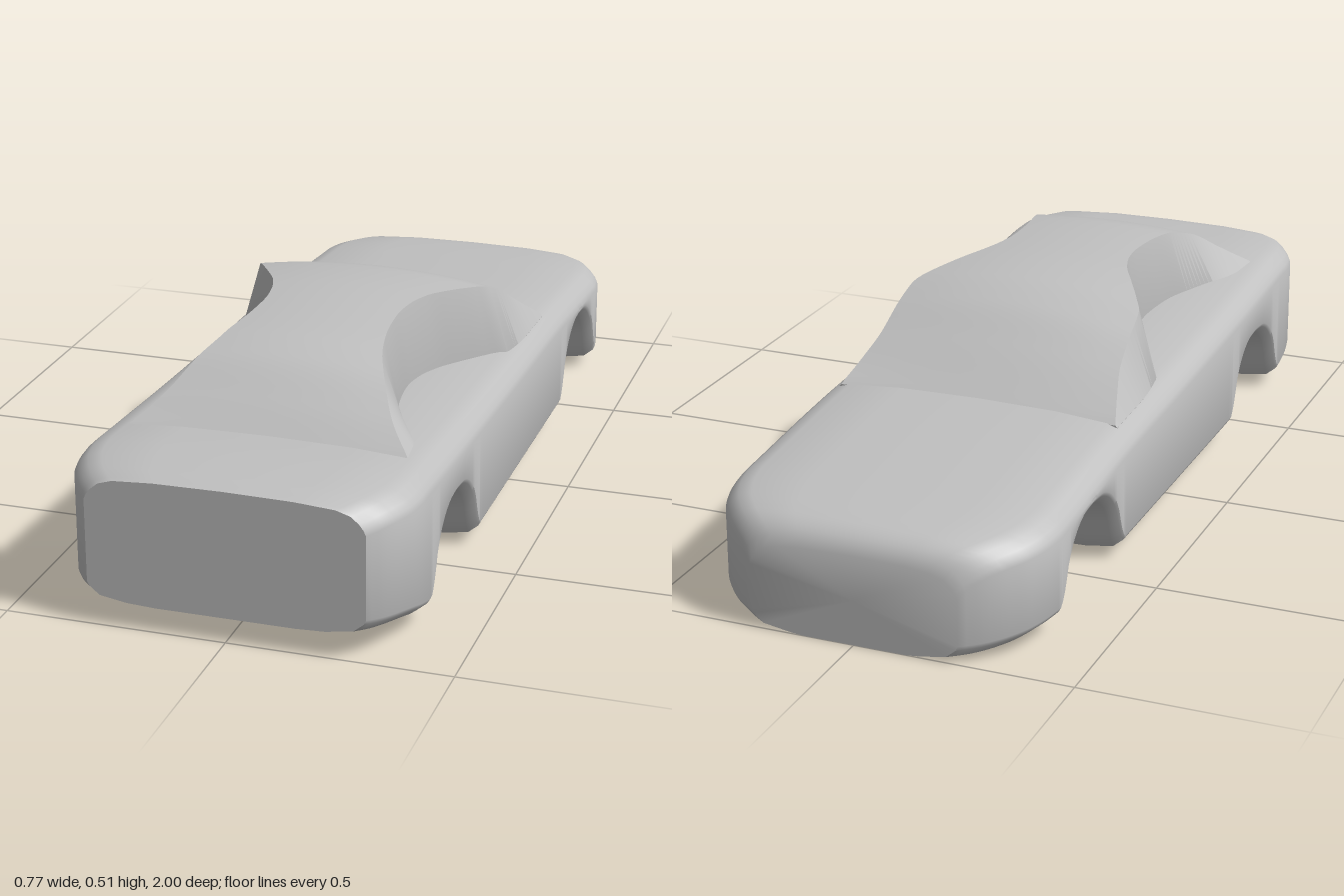
import * as THREE from 'three';
import { toCreasedNormals } from 'three/addons/utils/BufferGeometryUtils.js';

// Smooth, overshoot-free curve through [position, value] pairs
function curve(pts) {
  const n = pts.length;
  const s = pts.slice(1).map((p, i) => (p[1] - pts[i][1]) / (p[0] - pts[i][0]));
  const m = pts.map((p, i) => {
    if (i === 0) return s[0];
    if (i === n - 1) return s[n - 2];
    const a = s[i - 1], b = s[i];
    return a * b <= 0 ? 0 : (2 * a * b) / (a + b);
  });
  return (x) => {
    if (x <= pts[0][0]) return pts[0][1];
    if (x >= pts[n - 1][0]) return pts[n - 1][1];
    let i = 0;
    while (x > pts[i + 1][0]) i++;
    const h = pts[i + 1][0] - pts[i][0], t = (x - pts[i][0]) / h;
    const t2 = t * t, t3 = t2 * t;
    return (2 * t3 - 3 * t2 + 1) * pts[i][1] + (t3 - 2 * t2 + t) * h * m[i]
      + (3 * t2 - 2 * t3) * pts[i + 1][1] + (t3 - t2) * h * m[i + 1];
  };
}

// Skin over mirrored half-sections, running from z0 (front) back to z1
function loft(halfSection, z0, z1, steps, crease) {
  const pos = [], idx = [];
  let n = 0;
  for (let j = 0; j <= steps; j++) {
    const z = z0 + ((z1 - z0) * j) / steps;
    const half = halfSection(z);
    const ring = half.concat(half.slice(1, -1).reverse().map(([x, y]) => [-x, y]));
    n = ring.length;
    ring.forEach(([x, y]) => pos.push(x, y, z));
  }
  for (let j = 0; j < steps; j++) {
    for (let i = 0; i < n; i++) {
      const a = j * n + i, b = j * n + (i + 1) % n;
      idx.push(a, a + n, b, b, a + n, b + n);
    }
  }
  // flat end caps
  for (const [start, z, flip] of [[0, z0, false], [steps * n, z1, true]]) {
    const c = pos.length / 3;
    const ys = [];
    for (let i = 0; i < n; i++) ys.push(pos[(start + i) * 3 + 1]);
    pos.push(0, (Math.min(...ys) + Math.max(...ys)) / 2, z);
    for (let i = 0; i < n; i++) {
      const a = start + i, b = start + (i + 1) % n;
      if (flip) idx.push(c, b, a);
      else idx.push(c, a, b);
    }
  }
  const g = new THREE.BufferGeometry();
  g.setAttribute('position', new THREE.Float32BufferAttribute(pos, 3));
  g.setIndex(idx);
  return toCreasedNormals(g, crease);
}

// Body curves along z
const deck = curve([[-1, 0.21], [-0.985, 0.238], [-0.95, 0.26], [-0.9, 0.27], [-0.7, 0.288],
  [-0.33, 0.315], [0, 0.326], [0.4, 0.343], [0.7, 0.36], [0.82, 0.366], [0.95, 0.361], [1, 0.35]]);
const width = curve([[-1, 0.24], [-0.97, 0.285], [-0.93, 0.325], [-0.88, 0.358], [-0.82, 0.378],
  [-0.76, 0.385], [0.82, 0.385], [0.88, 0.378], [0.93, 0.36], [0.97, 0.337], [1, 0.31]]);
const floor = curve([[-1, 0.003], [-0.8, 0.02], [0.78, 0.02], [0.83, 0.032], [0.9, 0.05], [1, 0.06]]);
const arch = curve([[0, 0.19], [0.05, 0.185], [0.09, 0.17], [0.13, 0.138], [0.155, 0.1],
  [0.17, 0.06], [0.185, 0.032], [0.21, 0]]);

function bodySection(z) {
  const w = width(z), t = deck(z);
  // wheel arches run right across the underside
  const b = Math.max(floor(z), arch(Math.abs(z - 0.575)), arch(Math.abs(z + 0.585)));
  return [[0, b], [0.5 * w, b], [w - 0.09, b + 0.003], [w - 0.028, b + 0.013], [w - 0.005, b + 0.032],
    [w, b + 0.042], [w, t - 0.058], [w - 0.005, t - 0.046], [w - 0.015, t - 0.033], [w - 0.033, t - 0.018],
    [w - 0.065, t - 0.008], [0.5 * w, t - 0.002], [0, t]];
}

// Cabin curves along z: roof line, base half-width and roof half-width
const roof = curve([[-0.34, 0.305], [-0.3, 0.335], [-0.2, 0.41], [-0.1, 0.474], [0, 0.505], [0.15, 0.515],
  [0.3, 0.512], [0.45, 0.506], [0.55, 0.482], [0.65, 0.418], [0.73, 0.352]]);
const baseWidth = curve([[-0.34, 0.345], [-0.2, 0.345], [-0.05, 0.335], [0, 0.302], [0.08, 0.252], [0.15, 0.215],
  [0.22, 0.194], [0.28, 0.188], [0.4, 0.202], [0.52, 0.25], [0.65, 0.312], [0.73, 0.322]]);
const roofWidth = curve([[-0.34, 0.34], [-0.27, 0.318], [-0.2, 0.3], [-0.05, 0.288], [0, 0.265], [0.08, 0.222],
  [0.15, 0.186], [0.22, 0.166], [0.28, 0.16], [0.35, 0.163], [0.48, 0.184], [0.55, 0.208], [0.6, 0.23],
  [0.66, 0.262], [0.73, 0.318]]);

function cabinSection(z) {
  const t = deck(z), wb = baseWidth(z), wt = roofWidth(z);
  const y = Math.max(roof(z), t - 0.012);
  const crown = 0.3 * Math.min(1, Math.max(0, (y - t) / 0.15));
  const top = [1, 0.8, 0.6, 0.4, 0.2, 0].map((f) => [f * wt, y - crown * (f * wt) ** 2]);
  return [[0, t - 0.06], [wb - 0.01, t - 0.06], [wb, t - 0.015], ...top];
}

export function createModel() {
  const paint = new THREE.MeshStandardMaterial({ color: 0xc0c0c0 });
  paint.name = 'plain grey';
  const group = new THREE.Group();
  group.name = 'carBody';
  const add = (name, geometry) => {
    const mesh = new THREE.Mesh(geometry, paint);
    mesh.name = name;
    group.add(mesh);
  };
  // lower body with wheel arches
  add('lowerBody', loft(bodySection, 1, -1, 200, 0.65));
  // cabin with pinched-in sides
  add('cabin', loft(cabinSection, 0.73, -0.34, 90, 0.55));
  return group;
}
